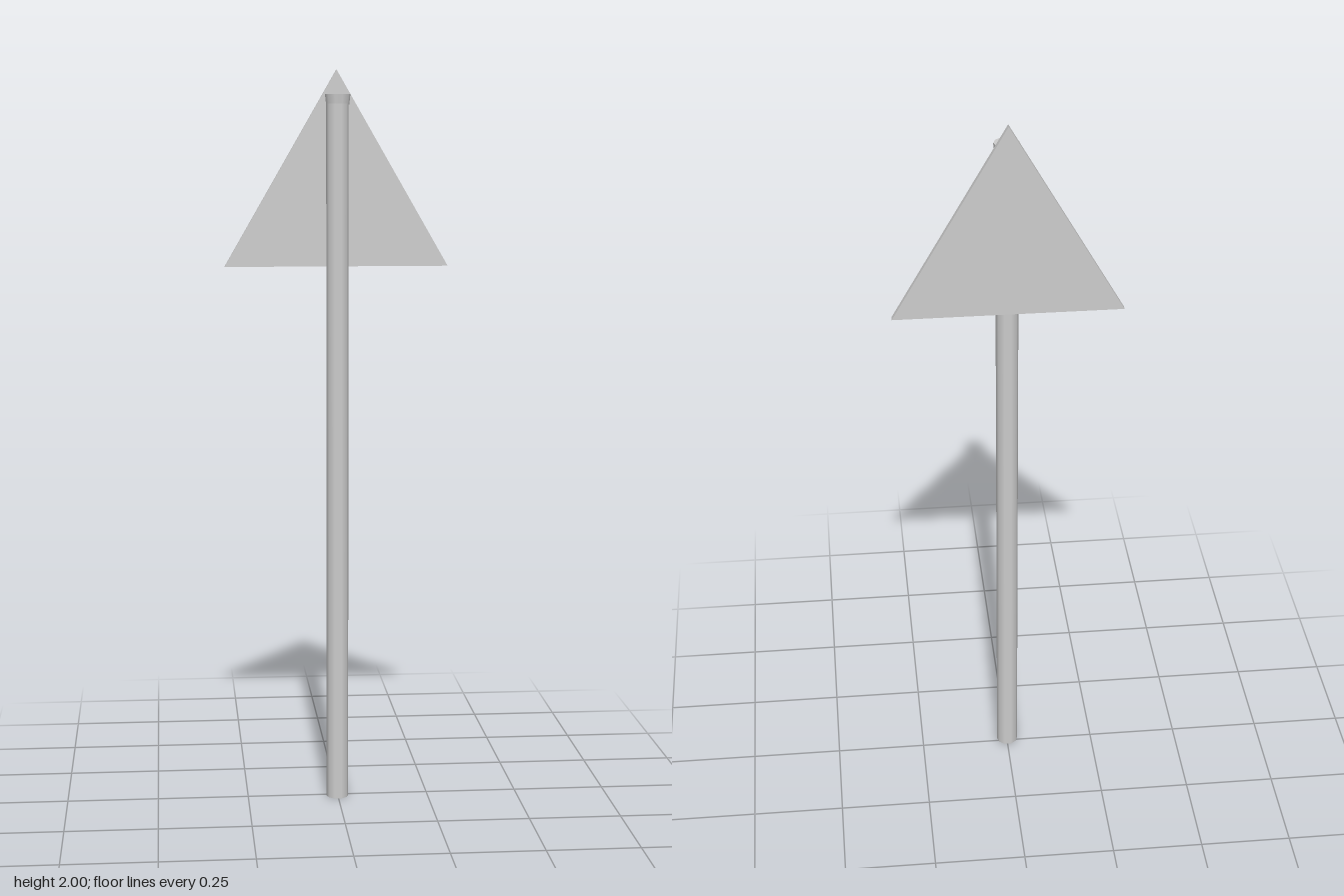
import * as THREE from 'three';

export function createModel() {
  const model = new THREE.Group();
  model.name = 'signPost';
  const grey = new THREE.MeshStandardMaterial({ color: 0xcccccc });
  grey.name = 'grey';

  const add = (name, geometry, x, y, z) => {
    const mesh = new THREE.Mesh(geometry, grey);
    mesh.name = name;
    mesh.position.set(x, y, z);
    model.add(mesh);
    return mesh;
  };

  // Ten-sided post with a slightly flared top
  const post = new THREE.CylinderGeometry(0.03, 0.03, 1.91, 10).rotateY(Math.PI / 2);
  add('post', post, -0.001, 0.955, 0.011);
  const top = new THREE.CylinderGeometry(0.034, 0.031, 0.028, 10).rotateY(Math.PI / 2);
  add('postTop', top, 0, 1.921, 0.008);

  // Triangular sign plate behind the post
  const triangle = new THREE.Shape([
    new THREE.Vector2(-0.303, 0),
    new THREE.Vector2(0.303, 0),
    new THREE.Vector2(0, 0.525),
  ]);
  const plate = new THREE.ExtrudeGeometry(triangle, { depth: 0.016, bevelEnabled: false });
  add('signPlate', plate, 0, 1.475, -0.044);

  return model;
}
